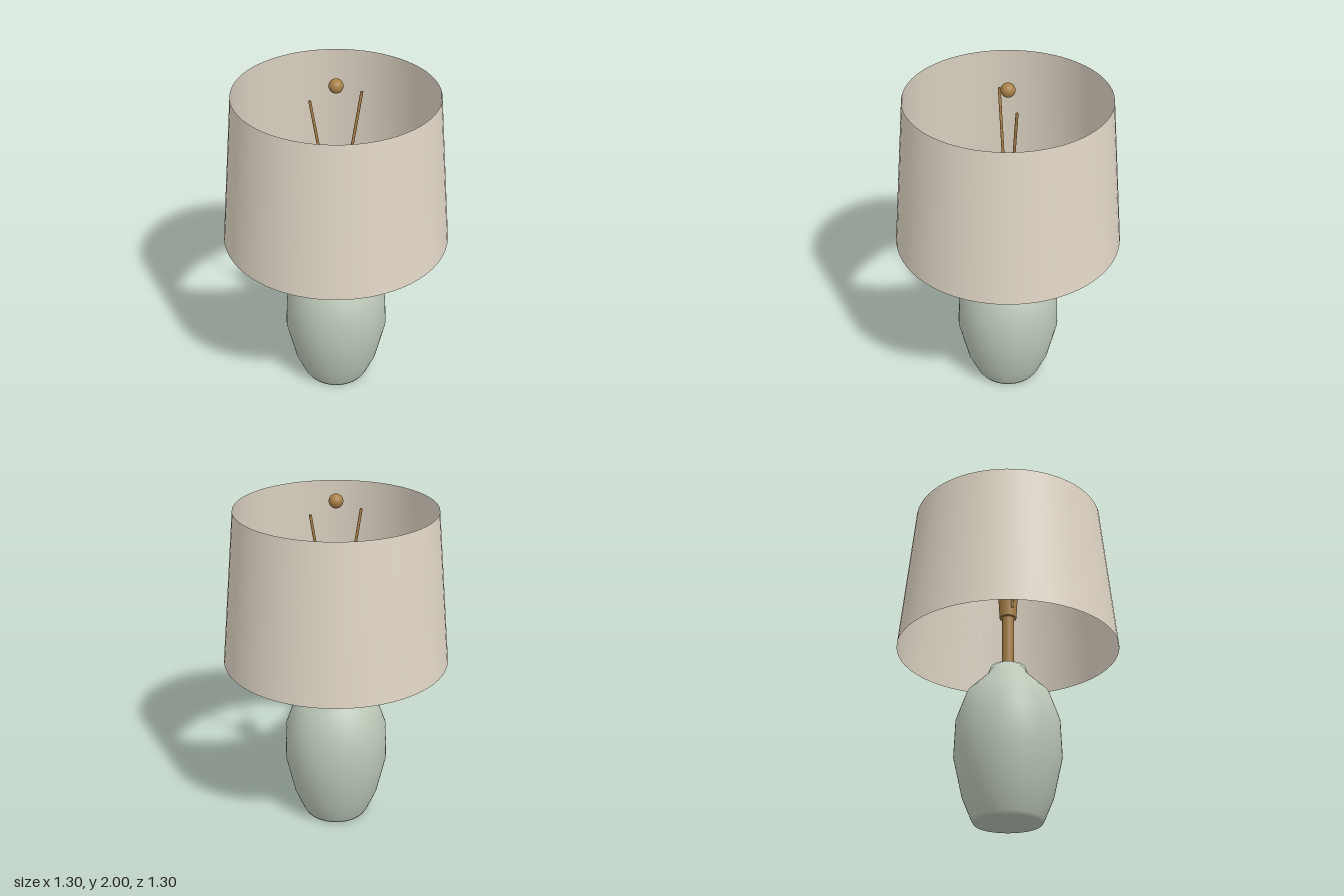
import * as THREE from 'three';

const ceramic = new THREE.MeshStandardMaterial({ color: 0xbcc8b8 });
const linen = new THREE.MeshStandardMaterial({ color: 0xe0d6c6, side: THREE.DoubleSide });
const brass = new THREE.MeshStandardMaterial({ color: 0xa88048 });

function add(group, name, geometry, material, y = 0) {
  const mesh = new THREE.Mesh(geometry, material);
  mesh.name = name;
  mesh.position.y = y;
  group.add(mesh);
  return mesh;
}

export function createModel() {
  const lamp = new THREE.Group();
  lamp.name = 'tableLamp';

  // Ceramic body: closed profile turned round the axis
  const profile = [
    [0, 0], [0.187, 0], [0.2, 0.02], [0.253, 0.145], [0.305, 0.375],
    [0.297, 0.59], [0.237, 0.76], [0.12, 0.875], [0.102, 0.925], [0, 0.925],
  ].map(([x, y]) => new THREE.Vector2(x, y));
  add(lamp, 'ceramicBody', new THREE.LatheGeometry(profile, 64), ceramic);

  // Brass stem and bulb socket
  add(lamp, 'stem', new THREE.CylinderGeometry(0.035, 0.035, 0.36, 32), brass, 1.09);
  add(lamp, 'socket', new THREE.CylinderGeometry(0.06, 0.05, 0.18, 32), brass, 1.34);

  // Two slanted harp wires rising from the socket
  for (const side of [-1, 1]) {
    const from = new THREE.Vector3(side * 0.05, 1.3, 0);
    const to = new THREE.Vector3(side * 0.15, 1.9, 0);
    const dir = to.clone().sub(from);
    const wire = add(lamp, side > 0 ? 'leftHarpWire' : 'rightHarpWire',
      new THREE.CylinderGeometry(0.008, 0.008, dir.length(), 12), brass);
    wire.position.copy(from).add(to).multiplyScalar(0.5);
    wire.quaternion.setFromUnitVectors(new THREE.Vector3(0, 1, 0), dir.normalize());
  }

  // Open tapered shade
  add(lamp, 'shade', new THREE.CylinderGeometry(0.565, 0.648, 0.89, 64, 1, true), linen, 1.475);

  // Finial ball
  add(lamp, 'finial', new THREE.SphereGeometry(0.04, 32, 20), brass, 1.96);

  return lamp;
}
